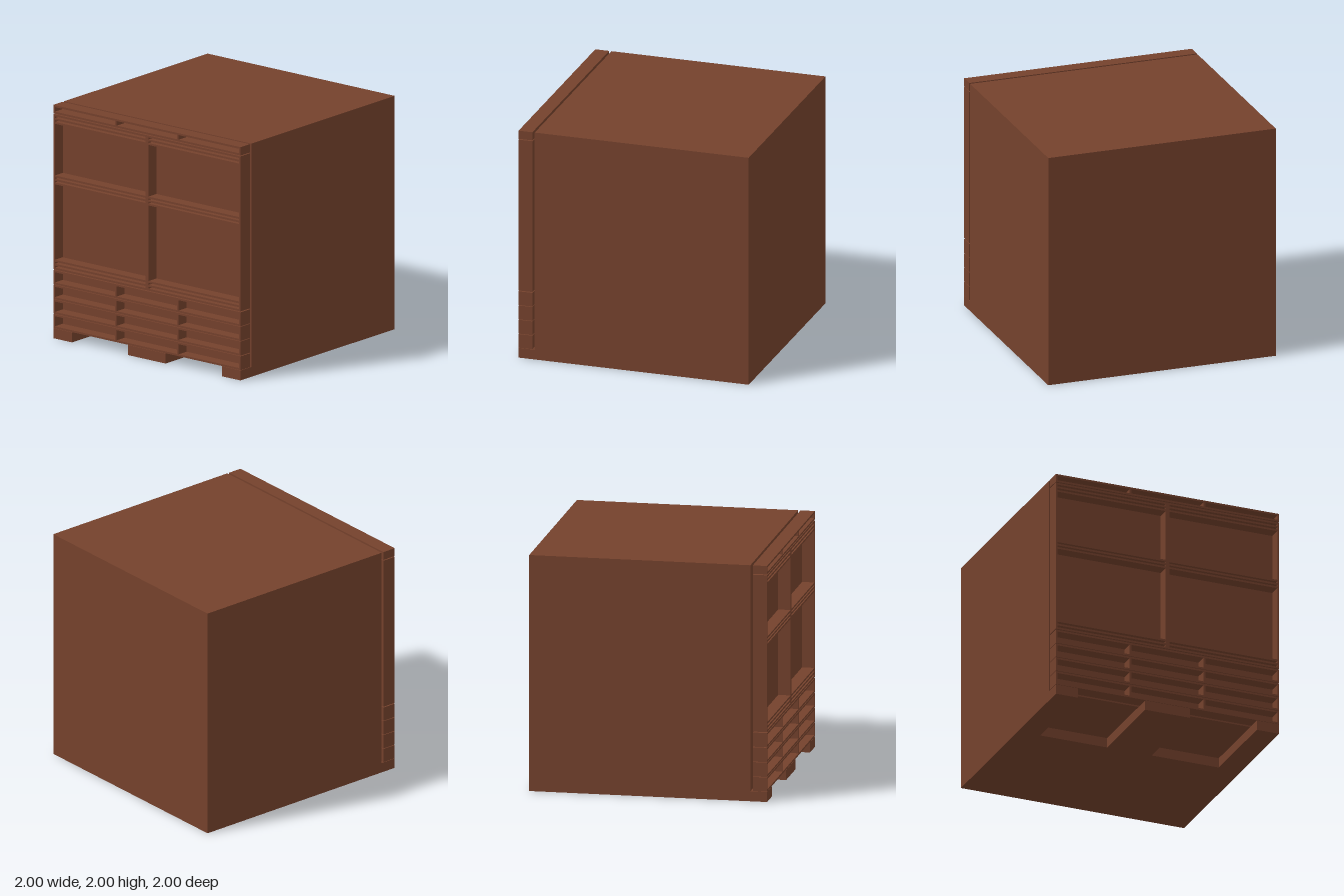
import * as THREE from 'three';

const WOOD = new THREE.MeshStandardMaterial({ color: 0x74412c });
WOOD.name = 'brown wood';

const FRONT = 1, BACK = 0.88;   // depth range of the drawer and door fronts
const T = 0.016;                // board thickness
const BASE = 0.085;             // height of the feet

// Box given by its limits on each axis
function box(parent, name, x0, x1, y0, y1, z0, z1) {
  const mesh = new THREE.Mesh(new THREE.BoxGeometry(x1 - x0, y1 - y0, z1 - z0), WOOD);
  mesh.position.set((x0 + x1) / 2, (y0 + y1) / 2, (z0 + z1) / 2);
  mesh.name = name;
  parent.add(mesh);
}

// Open-fronted tray: back panel, upright boards centred between the ends, and
// horizontal boards given as [bottom, top] pairs
function tray(parent, name, x0, x1, columns, boards) {
  const g = new THREE.Group();
  g.name = name;
  const y0 = boards[0][0], y1 = boards[boards.length - 1][1];
  box(g, 'backPanel', x0, x1, y0, y1, BACK, BACK + T);
  const uprights = [];
  for (let i = 0; i <= columns; i++) {
    const x = x0 + (x1 - x0 - T) * i / columns;
    uprights.push(x);
    box(g, 'upright', x, x + T, y0, y1, BACK + T, FRONT);
  }
  for (let i = 0; i < columns; i++) {
    for (const [a, b] of boards) {
      box(g, 'board', uprights[i] + T, uprights[i + 1], a, b, BACK + T, FRONT);
    }
  }
  parent.add(g);
}

// Three thin boards with two grooves between them
function slattedRail(y0, y1) {
  const s = (y1 - y0 - 3 * T) / 2 + T;
  return [0, 1, 2].map(i => [y0 + i * s, y0 + i * s + T]);
}

export function createModel() {
  const model = new THREE.Group();
  model.name = 'cabinet';

  // Solid body on a rear plinth, with three runners under the front
  box(model, 'body', -1, 1, BASE, 2, -1, 0.86);
  box(model, 'plinth', -1, 1, 0, BASE, -1, 0.2);
  for (const [a, b] of [[-1, -0.8], [-0.2, 0.2], [0.8, 1]]) {
    box(model, 'foot', a, b, 0, BASE, 0.2, FRONT);
  }

  // Drawer rows: four at the bottom, one at the top
  const rows = [[0.088, 0.207], [0.212, 0.333], [0.338, 0.459], [0.464, 0.584], [1.929, 2]];
  for (const [a, b] of rows) {
    tray(model, 'drawerRow', -1, 1, 3, [[a, a + T], [b - T, b]]);
  }

  // Pair of doors with slatted rails
  const rails = [
    ...slattedRail(0.592, 0.674),
    ...slattedRail(1.322, 1.398),
    ...slattedRail(1.841, 1.921),
  ];
  tray(model, 'rightDoor', -1, -0.001, 1, rails);
  tray(model, 'leftDoor', 0.001, 1, 1, rails);

  return model;
}
